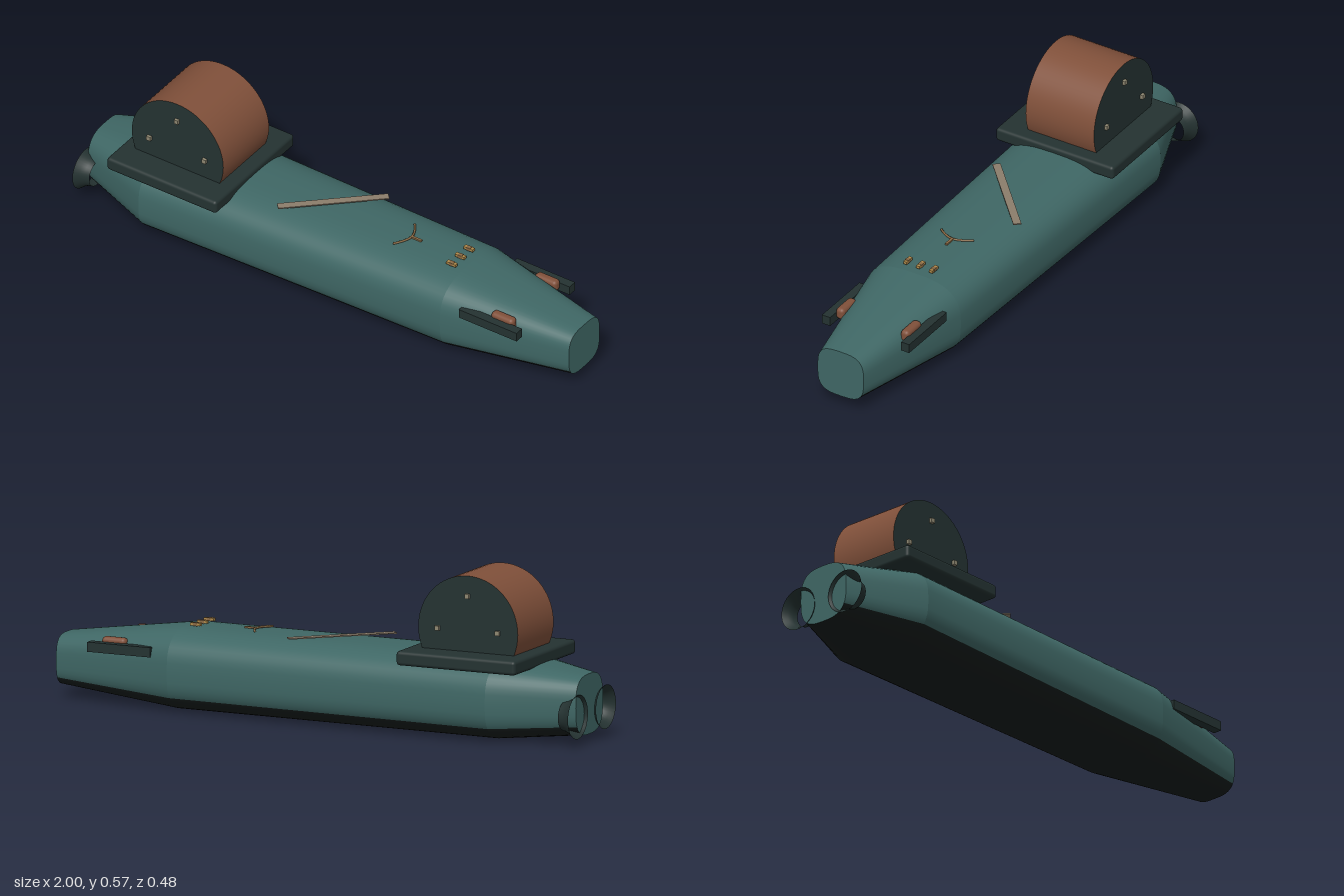
import * as THREE from 'three';
import { RoundedBoxGeometry } from 'three/addons/geometries/RoundedBoxGeometry.js';

const mat = (name, color, side = THREE.FrontSide) => {
  const m = new THREE.MeshStandardMaterial({ color, side });
  m.name = name;
  return m;
};

const SEG = 48;
// Hull stations: x, half width, bottom, top, squareness
const STATIONS = [
  [-0.99, 0.105, 0.03, 0.24, 3],
  [-0.7, 0.222, 0.002, 0.285, 2.9],
  [0.53, 0.19, 0.002, 0.289, 2.9],
  [1, 0.093, 0.045, 0.224, 3.3],
];

// Rounded-square ring of points at one station
function ring([x, w, y0, y1, n]) {
  const pts = [];
  const soft = (v) => Math.sign(v) * Math.pow(Math.abs(v), 2 / n);
  for (let j = 0; j < SEG; j++) {
    const t = (j / SEG) * Math.PI * 2;
    pts.push([x, (y0 + y1) / 2 + ((y1 - y0) / 2) * soft(Math.sin(t)), w * soft(Math.cos(t))]);
  }
  return pts;
}

function build(points, index) {
  const g = new THREE.BufferGeometry();
  g.setAttribute('position', new THREE.Float32BufferAttribute(points.flat(), 3));
  g.setIndex(index);
  g.computeVertexNormals();
  return g;
}

// Skin between two stations; group 0 is the upper hull, group 1 the keel
function hullBand(a, b) {
  const upper = [], keel = [];
  for (let j = 0; j < SEG; j++) {
    const k = (j + 1) % SEG;
    const deg = ((j + 0.5) / SEG) * 360;
    (deg > 210 && deg < 330 ? keel : upper).push(j, SEG + j, SEG + k, j, SEG + k, k);
  }
  const g = build([...ring(a), ...ring(b)], [...upper, ...keel]);
  g.addGroup(0, upper.length, 0);
  g.addGroup(upper.length, keel.length, 1);
  return g;
}

// Flat end closing a station
function hullEnd(s, facesForward) {
  const index = [];
  for (let j = 0; j < SEG; j++) {
    const k = (j + 1) % SEG;
    index.push(SEG, ...(facesForward ? [k, j] : [j, k]));
  }
  return build([...ring(s), [s[0], (s[2] + s[3]) / 2, 0]], index);
}

export function createModel() {
  const model = new THREE.Group();
  model.name = 'submarine';
  const teal = mat('hull teal', 0x3f6765);
  const keel = mat('keel black', 0x161d1c);
  const dark = mat('dark slate', 0x243231, THREE.DoubleSide);
  const rust = mat('rust brown', 0x80503a);
  const bolt = mat('bolt grey', 0x8f8872);
  const plank = mat('stripe tan', 0x8c7d6b);
  const brass = mat('brass', 0xb08a4a);
  const bronze = mat('bronze', 0x8a6a45);

  const add = (name, geo, material, x = 0, y = 0, z = 0) => {
    const m = new THREE.Mesh(geo, material);
    m.name = name;
    m.position.set(x, y, z);
    model.add(m);
    return m;
  };

  // Hull
  ['hullStern', 'hullMiddle', 'hullBow'].forEach((name, i) =>
    add(name, hullBand(STATIONS[i], STATIONS[i + 1]), [teal, keel]));
  add('sternFace', hullEnd(STATIONS[0], false), teal);
  add('bowFace', hullEnd(STATIONS[3], true), teal);

  // Drum hangar on its base plate
  add('basePlate', new RoundedBoxGeometry(0.455, 0.05, 0.476, 3, 0.012), dark, -0.595, 0.281, 0);
  const drum = add('drum', new THREE.CylinderGeometry(0.19, 0.19, 0.276, 64), [rust, dark, dark], -0.595, 0.38, 0);
  drum.rotation.x = Math.PI / 2;

  // Deck markings
  const stripe = add('deckStripe', new THREE.BoxGeometry(0.385, 0.004, 0.028), plank, -0.05, 0.296, -0.01);
  stripe.rotation.y = 0.75;
  for (const z of [-0.052, 0, 0.052]) {
    add('deckCleat', new THREE.BoxGeometry(0.038, 0.01, 0.014), brass, 0.486, 0.298, z);
    add('cleatBand', new THREE.BoxGeometry(0.016, 0.012, 0.015), bronze, 0.486, 0.298, z);
  }
  add('markStem', new THREE.BoxGeometry(0.045, 0.006, 0.009), bronze, 0.302, 0.293, 0);

  for (const s of [1, -1]) {
    // Curved arms of the deck mark
    const arm = new THREE.QuadraticBezierCurve3(
      new THREE.Vector3(0.283, 0.293, 0),
      new THREE.Vector3(0.28, 0.293, s * 0.03),
      new THREE.Vector3(0.25, 0.291, s * 0.066));
    add('markArm', new THREE.TubeGeometry(arm, 10, 0.004, 6), bronze);

    // Bolts on the drum ends
    for (const [x, y] of [[-0.595, 0.5], [-0.71, 0.38], [-0.48, 0.38]]) {
      add('drumBolt', new THREE.BoxGeometry(0.016, 0.016, 0.02), bolt, x, y, s * 0.139);
    }

    // Bow side rails with brown floats
    add('sideRail', new THREE.BoxGeometry(0.24, 0.034, 0.033), dark, 0.72, 0.21, s * 0.16);
    add('railFloat', new RoundedBoxGeometry(0.092, 0.044, 0.034, 4, 0.014), rust, 0.756, 0.222, s * 0.131);

    // Flared stern nozzles
    const profile = [[0.05, 0], [0.054, 0.018], [0.063, 0.035], [0.077, 0.052]];
    const nozzle = add('sternNozzle',
      new THREE.LatheGeometry(profile.map(([r, h]) => new THREE.Vector2(r, h)), 40),
      dark, -0.948, 0.107, s * 0.108);
    nozzle.rotation.z = Math.PI / 2;
  }
  return model;
}
